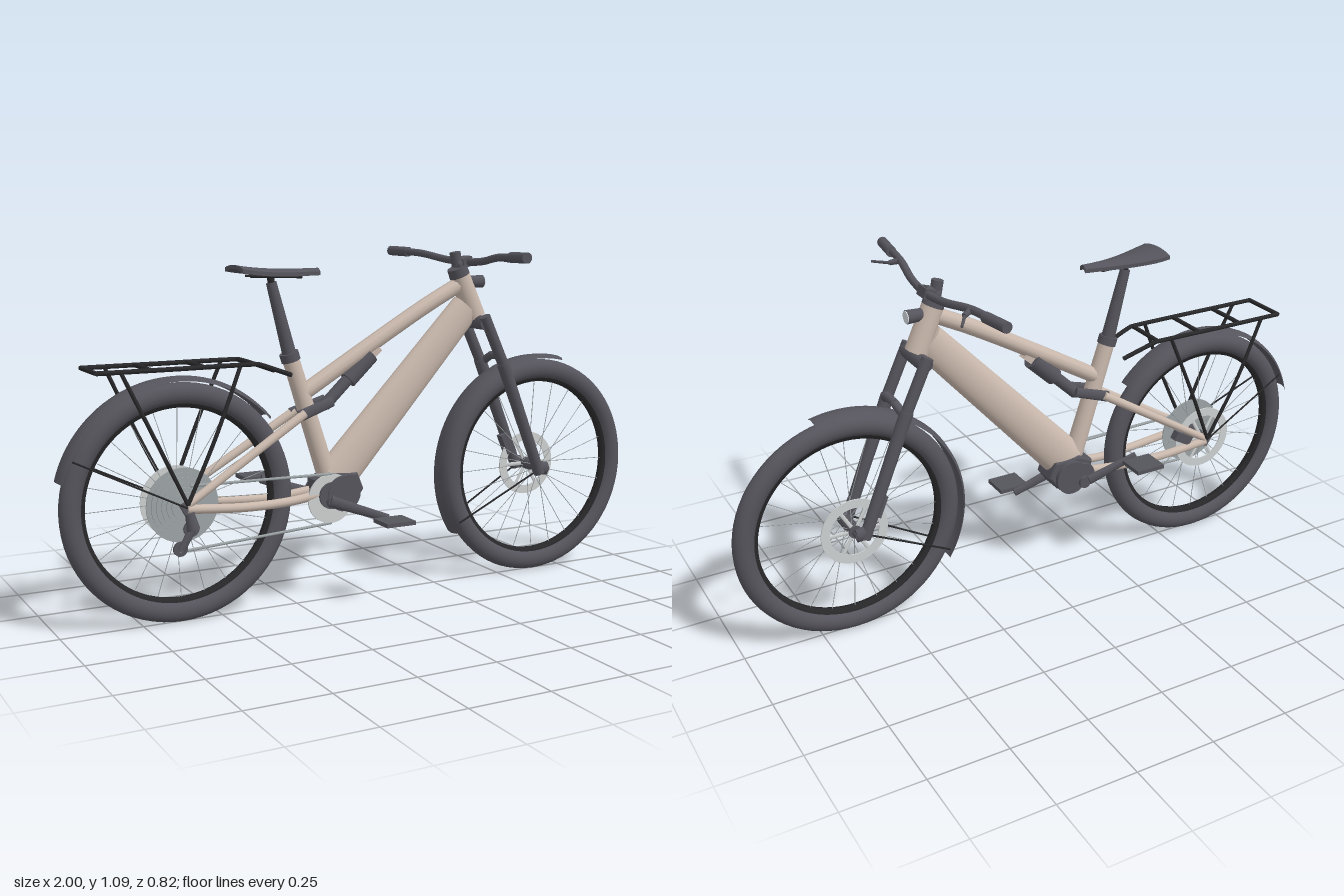
import * as THREE from 'three';

const paint = (name, color) => new THREE.MeshStandardMaterial({ name, color, side: THREE.DoubleSide });

export function createModel() {
  const tan = paint('sand frame', 0xcab9ad), dark = paint('charcoal', 0x55545c), black = paint('black', 0x28282a);
  const steel = paint('steel', 0x9da4a6), silver = paint('silver', 0xcdd0d0), lens = paint('lens', 0xd6dcdf);
  const bike = new THREE.Group();
  bike.name = 'bicycle';
  const V = (p) => new THREE.Vector3(...p);
  const add = (name, geo, mat, pos = [0, 0, 0], parent = bike) => {
    const m = new THREE.Mesh(geo, mat);
    m.name = name;
    m.position.set(...pos);
    parent.add(m);
    return m;
  };
  // straight tube between two points; squash flattens it across z
  const rod = (name, a, b, r0, r1, mat, squash = 1, seg = 16, parent = bike) => {
    const A = V(a), B = V(b), d = B.clone().sub(A);
    const m = add(name, new THREE.CylinderGeometry(r1, r0, d.length(), seg), mat, A.clone().add(B).multiplyScalar(0.5).toArray(), parent);
    m.quaternion.setFromUnitVectors(new THREE.Vector3(0, 1, 0), d.normalize());
    m.scale.z = squash;
    return m;
  };
  const bent = (name, pts, r, mat, tension = 0.5) => add(name,
    new THREE.TubeGeometry(new THREE.CatmullRomCurve3(pts.map(V), false, 'catmullrom', tension), 40, r, 10), mat);
  const disc = (name, x, y, z, r, t, mat, seg = 40) => rod(name, [x, y, z - t / 2], [x, y, z + t / 2], r, r, mat, 1, seg);
  const box = (name, size, pos, mat, rot = 0) => {
    const m = add(name, new THREE.BoxGeometry(...size), mat, pos);
    m.rotation.z = rot;
    return m;
  };
  // surface of revolution round z; phi runs clockwise from the top
  const turn = (pts, seg, start = 0, len = Math.PI * 2) =>
    new THREE.LatheGeometry(pts.map(p => new THREE.Vector2(...p)), seg, start, len).rotateX(-Math.PI / 2);
  const sides = [1, -1], rad = Math.PI / 180, axleY = 0.361, rearX = -0.63, frontX = 0.639;

  // wheels with tyre, rim, hub, spokes and brake rotor
  const wheel = (name, x) => {
    const g = new THREE.Group();
    g.name = name;
    g.position.set(x, axleY, 0);
    bike.add(g);
    add('tyre', new THREE.TorusGeometry(0.328, 0.033, 16, 72), dark, undefined, g).scale.z = 0.9;
    add('rim', turn([[0.305, -0.015], [0.288, -0.012], [0.286, 0], [0.288, 0.012], [0.305, 0.015]], 72), black, undefined, g);
    rod('hub', [0, 0, -0.05], [0, 0, 0.05], 0.02, 0.02, dark, 1, 20, g);
    for (let i = 0; i < 24; i++) {
      const a = i * 15 * rad, b = a + (i % 4 < 2 ? 0.15 : -0.15), z = i % 2 ? 0.03 : -0.03;
      rod('spoke', [0.02 * Math.cos(b), 0.02 * Math.sin(b), z], [0.29 * Math.cos(a), 0.29 * Math.sin(a), 0], 0.0012, 0.0012, steel, 1, 5, g);
    }
    const ring = new THREE.Shape().absarc(0, 0, 0.107, 0, Math.PI * 2);
    ring.holes.push(new THREE.Path().absarc(0, 0, 0.079, 0, Math.PI * 2, true));
    add('brakeRotor', new THREE.ExtrudeGeometry(ring, { depth: 0.004, bevelEnabled: false, curveSegments: 32 }), silver, [0, 0, -0.044], g);
    for (let i = 0; i < 6; i++) {
      const a = i * 60 * rad;
      rod('rotorArm', [0, 0, -0.042], [0.085 * Math.cos(a), 0.085 * Math.sin(a), -0.042], 0.006, 0.006, silver, 0.35, 8, g);
    }
  };
  wheel('rearWheel', rearX);
  wheel('frontWheel', frontX);

  // mudguards and their stays
  const guard = [[0.367, -0.036], [0.376, -0.026], [0.38, 0], [0.376, 0.026], [0.367, 0.036]];
  add('rearMudguard', turn(guard, 40, -75 * rad, 125 * rad), dark, [rearX, axleY, 0]);
  add('frontMudguard', turn(guard, 40, -122 * rad, 136 * rad), dark, [frontX, axleY, 0]);
  for (const s of sides) {
    rod('rearGuardStay', [-0.955, 0.52, s * 0.036], [-0.63, 0.36, s * 0.07], 0.003, 0.003, black, 1, 6);
    rod('frontGuardStay', [0.325, 0.2, s * 0.036], [0.625, 0.36, s * 0.065], 0.003, 0.003, black, 1, 6);
  }

  // frame
  rod('headTube', [0.395, 0.875, 0], [0.336, 1.012, 0], 0.036, 0.033, tan, 1, 24);
  rod('downTube', [-0.12, 0.385, 0], [0.36, 0.905, 0], 0.068, 0.053, tan, 0.6, 32);
  bent('topTube', [[0.345, 0.985, 0], [0.2, 0.91, 0], [0, 0.795, 0], [-0.22, 0.665, 0]], 0.025, tan);
  rod('seatTube', [-0.145, 0.4, 0], [-0.265, 0.775, 0], 0.03, 0.026, tan, 1, 20);
  for (const s of sides) {
    rod('seatStay', [-0.63, 0.365, s * 0.062], [-0.235, 0.605, s * 0.036], 0.012, 0.014, tan);
    bent('chainStay', [[-0.63, 0.355, s * 0.062], [-0.45, 0.34, s * 0.055], [-0.3, 0.338, s * 0.042], [-0.18, 0.35, s * 0.035]], 0.014, tan);
    box('dropout', [0.035, 0.035, 0.012], [-0.628, 0.36, s * 0.062], dark, 0.5);
    rod('rockerLink', [-0.25, 0.598, s * 0.034], [-0.135, 0.635, s * 0.028], 0.018, 0.016, dark, 0.5);
  }
  rod('shockBody', [-0.15, 0.62, 0], [-0.06, 0.705, 0], 0.019, 0.019, dark);
  rod('shockCan', [-0.07, 0.695, 0], [0.01, 0.77, 0], 0.029, 0.029, dark, 1, 20);
  box('shockMount', [0.05, 0.035, 0.03], [0.015, 0.78, 0], tan, 0.7);

  // seat post and saddle
  rod('seatCollar', [-0.262, 0.765, 0], [-0.27, 0.79, 0], 0.03, 0.03, dark, 1, 20);
  rod('seatPost', [-0.265, 0.775, 0], [-0.325, 1.003, 0], 0.022, 0.016, dark, 1, 20);
  rod('saddleClamp', [-0.325, 1.0, 0], [-0.328, 1.028, 0], 0.01, 0.012, black);
  const seat = new THREE.BoxGeometry(0.275, 0.012, 1, 18, 1, 10);
  const p = seat.attributes.position;
  for (let i = 0; i < p.count; i++) {
    const u = THREE.MathUtils.clamp(p.getX(i) / 0.275 + 0.5, 0, 1), z = p.getZ(i) * 2;
    const w = 0.016 + 0.059 * (1 - u) ** 1.2 * (0.9 + 0.1 * Math.min(1, u * 6));
    p.setXYZ(i, p.getX(i), p.getY(i) + 0.018 * (1 - u) ** 3 + 0.004 * u - 0.01 * z * z, z * w);
  }
  seat.computeVertexNormals();
  add('saddle', seat, dark, [-0.307, 1.034, 0]);
  for (const s of sides) rod('saddleRail', [-0.4, 1.024, s * 0.02], [-0.23, 1.018, s * 0.014], 0.004, 0.004, black, 1, 8);

  // front fork
  rod('forkCrown', [0.398, 0.858, -0.07], [0.398, 0.858, 0.07], 0.023, 0.023, dark, 1, 16);
  for (const s of sides) {
    const z = s * 0.069;
    rod('forkUpperLeg', [0.391, 0.88, z], [0.48, 0.69, z], 0.018, 0.018, dark);
    rod('forkLowerLeg', [0.464, 0.725, z], [0.618, 0.345, z], 0.021, 0.018, dark);
    rod('forkDropout', [0.6, 0.365, z], [0.645, 0.36, z], 0.022, 0.022, dark, 0.7);
    rod('forkArch', [0.472, 0.715, z], [0.484, 0.742, s * 0.03], 0.014, 0.013, dark);
  }
  rod('forkArchTop', [0.484, 0.742, -0.032], [0.484, 0.742, 0.032], 0.013, 0.013, dark);
  disc('frontAxle', frontX, axleY, 0, 0.012, 0.16, dark, 16);
  box('frontCaliper', [0.035, 0.07, 0.03], [0.565, 0.435, -0.052], dark, 0.4);
  box('rearCaliper', [0.07, 0.03, 0.026], [-0.54, 0.385, -0.052], dark, 0.5);

  // stem, handlebar, grips, brake levers and headlamp
  rod('headsetSpacer', [0.338, 1.008, 0], [0.326, 1.035, 0], 0.034, 0.032, dark, 1, 20);
  rod('stem', [0.322, 1.042, 0], [0.362, 1.055, 0], 0.022, 0.018, dark);
  box('stemClamp', [0.036, 0.03, 0.05], [0.355, 1.052, 0], dark, 0.3);
  rod('stemCap', [0.328, 1.04, 0], [0.319, 1.084, 0], 0.018, 0.018, dark);
  bent('handlebar', [[0.315, 1.077, -0.4], [0.33, 1.074, -0.24], [0.352, 1.057, -0.11], [0.36, 1.052, 0],
    [0.352, 1.057, 0.11], [0.33, 1.074, 0.24], [0.315, 1.077, 0.4]], 0.012, dark);
  for (const s of sides) {
    rod('grip', [0.326, 1.076, s * 0.31], [0.313, 1.078, s * 0.41], 0.0165, 0.0165, dark);
    rod('leverClamp', [0.333, 1.073, s * 0.235], [0.36, 1.066, s * 0.25], 0.01, 0.008, dark);
    rod('brakeLever', [0.355, 1.066, s * 0.245], [0.395, 1.06, s * 0.305], 0.005, 0.004, dark, 1, 8);
  }
  rod('headlamp', [0.36, 0.988, 0], [0.422, 0.988, 0], 0.018, 0.021, dark, 1, 24);
  rod('headlampLens', [0.421, 0.988, 0], [0.425, 0.988, 0], 0.019, 0.019, lens, 1, 24);

  // motor: a faceted core between round side covers
  const hull = new THREE.Shape([[-0.185, 0.385], [-0.14, 0.405], [-0.06, 0.4], [-0.042, 0.355], [-0.068, 0.318], [-0.13, 0.295], [-0.18, 0.318]]
    .map(q => new THREE.Vector2(...q)));
  add('motor', new THREE.ExtrudeGeometry(hull, { depth: 0.07, bevelSize: 0.007, bevelThickness: 0.01, bevelSegments: 3 }), dark, [0, 0, -0.035]);
  disc('motorCover', -0.11, 0.348, 0, 0.056, 0.118, dark, 32);
  disc('crankCover', -0.152, 0.345, 0, 0.042, 0.112, dark, 32);

  // drivetrain
  disc('chainring', -0.152, 0.335, 0.046, 0.078, 0.006, silver);
  for (let i = 0; i < 6; i++) disc('sprocket', rearX, axleY, 0.027 + i * 0.005, 0.112 - i * 0.014, 0.004, steel);
  rod('upperChain', [-0.61, 0.42, 0.046], [-0.15, 0.412, 0.046], 0.0045, 0.0045, steel, 1, 6);
  rod('lowerChain', [-0.655, 0.23, 0.062], [-0.15, 0.257, 0.046], 0.0045, 0.0045, steel, 1, 6);
  rod('derailleur', [-0.625, 0.345, 0.072], [-0.615, 0.295, 0.075], 0.014, 0.02, dark);
  rod('derailleurCage', [-0.615, 0.3, 0.07], [-0.652, 0.235, 0.07], 0.013, 0.012, dark, 0.6);
  disc('upperPulley', -0.617, 0.295, 0.062, 0.024, 0.008, dark, 20);
  disc('lowerPulley', -0.652, 0.238, 0.062, 0.022, 0.008, dark, 20);

  // cranks and pedals, half a turn apart
  disc('crankAxle', -0.152, 0.326, 0, 0.02, 0.14, dark, 20);
  for (const s of sides) {
    const x = -0.152 + s * 0.168, y = 0.325 - s * 0.061;
    rod('crank', [-0.165, 0.331, s * 0.068], [x + s * 0.01, y - s * 0.003, s * 0.088], 0.018, 0.013, dark, 0.6);
    disc('pedalAxle', x, y, s * 0.1, 0.006, 0.04, dark, 10);
    box('pedal', [0.1, 0.013, 0.09], [x, y, s * 0.15], dark);
  }

  // luggage rack
  for (const s of sides) {
    bent('rackRail', [[-0.89, 0.77, s * 0.076], [-0.65, 0.77, s * 0.077], [-0.405, 0.77, s * 0.074], [-0.29, 0.73, s * 0.06]], 0.007, black, 0.1);
    for (const x of [-0.82, -0.46])
      bent('rackLeg', [[x, 0.768, s * 0.077], [x * 0.5 - 0.315, 0.565, s * 0.087], [-0.63, 0.37, s * 0.075]], 0.006, black);
  }
  for (const x of [-0.89, -0.73, -0.57, -0.41]) rod('rackCrossbar', [x, 0.77, -0.077], [x, 0.77, 0.077], 0.007, 0.007, black, 1, 10);
  return bike;
}
